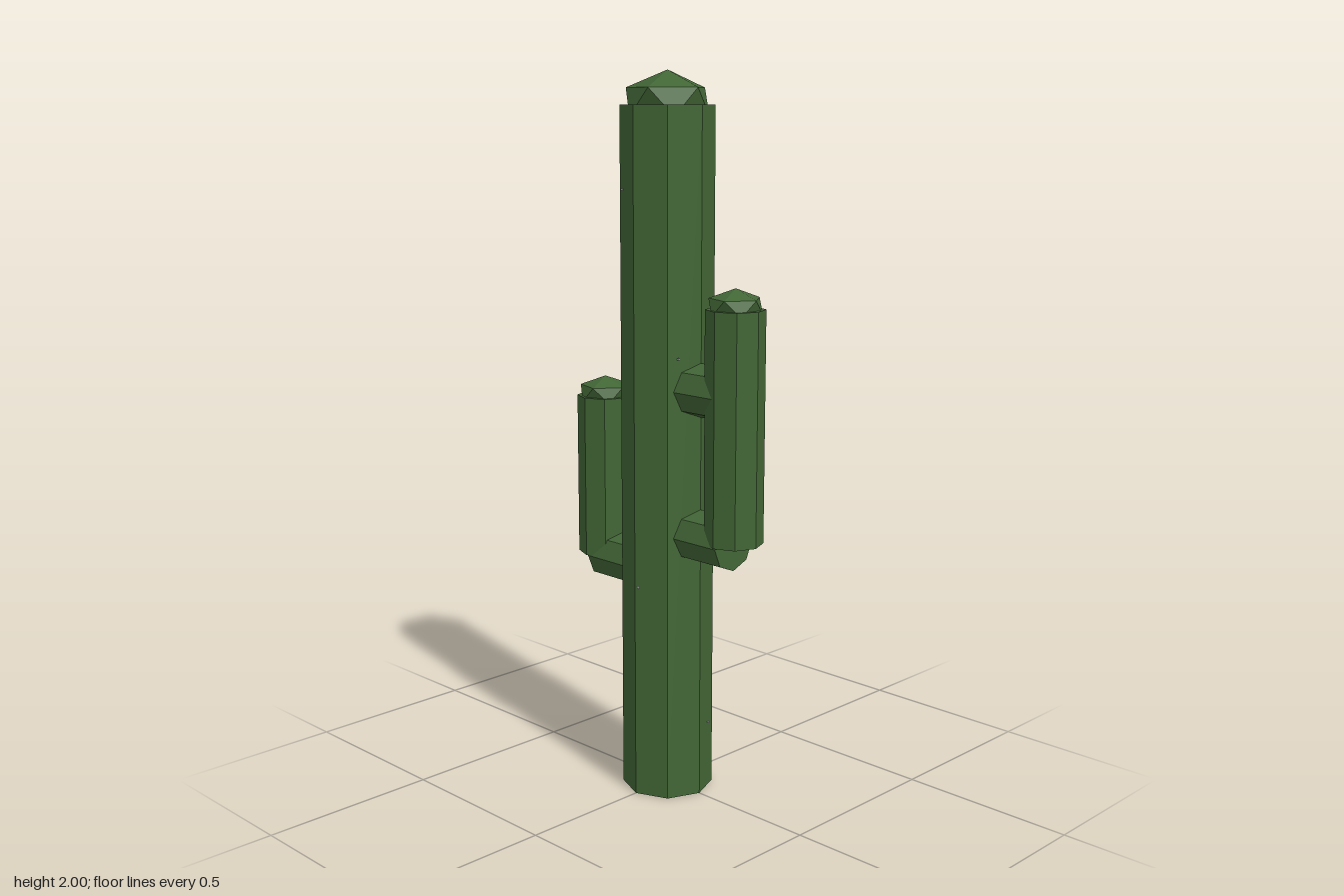
import * as THREE from 'three';

const green = new THREE.MeshStandardMaterial({ color: 0x426636, flatShading: true });
const grey = new THREE.MeshStandardMaterial({ color: 0xcccccc, flatShading: true });

function add(parent, name, geometry, x, y, z, material = green) {
  const mesh = new THREE.Mesh(geometry, material);
  mesh.name = name;
  mesh.position.set(x, y, z);
  parent.add(mesh);
  return mesh;
}

// Eight-sided upright column with a flattened faceted cap
function column(parent, name, x, y0, y1, radius, capRadius, capHeight) {
  add(parent, name, new THREE.CylinderGeometry(radius, radius, y1 - y0, 8), x, (y0 + y1) / 2, 0);
  const cap = new THREE.IcosahedronGeometry(1, 0);
  cap.rotateZ(-Math.atan(2 / (1 + Math.sqrt(5)))); // one corner points straight up
  cap.scale(capRadius, capHeight, capRadius);
  add(parent, name + 'Cap', cap, x, y1 + 0.007, 0);
}

// Eight-sided horizontal branch from the trunk's axis out to x = end
function branch(parent, name, end, y) {
  const g = new THREE.CylinderGeometry(0.074, 0.074, Math.abs(end), 8);
  g.rotateX(0).rotateY(Math.PI / 2).rotateZ(Math.PI / 2);
  add(parent, name, g, end / 2, y, 0);
}

export function createModel() {
  const group = new THREE.Group();
  group.name = 'cactus';

  column(group, 'trunk', 0, 0, 1.91, 0.127, 0.125, 0.083);

  // Arms
  column(group, 'leftArm', 0.25, 0.76, 1.39, 0.08, 0.08, 0.048);
  column(group, 'rightArm', -0.25, 0.64, 1.1, 0.08, 0.08, 0.048);
  branch(group, 'leftLowerBranch', 0.25, 0.756);
  branch(group, 'leftUpperBranch', 0.25, 1.16);
  branch(group, 'rightBranch', -0.25, 0.638);

  // Tiny spines scattered over the trunk
  const spines = [
    [-0.033, 1.46, -0.126], [0.077, 0.79, -0.104], [-0.095, 0.3, -0.088],
    [-0.118, 0.43, -0.051], [0.119, 0.2, -0.045], [-0.126, 0.9, 0.02],
    [0.107, 1.25, 0.066], [-0.06, 1.69, 0.111], [0.01, 0.61, 0.125], [0.123, 0.18, 0],
  ];
  const spine = new THREE.BoxGeometry(0.005, 0.005, 0.005);
  for (const [x, y, z] of spines) add(group, 'spine', spine, x, y, z, grey);

  return group;
}
